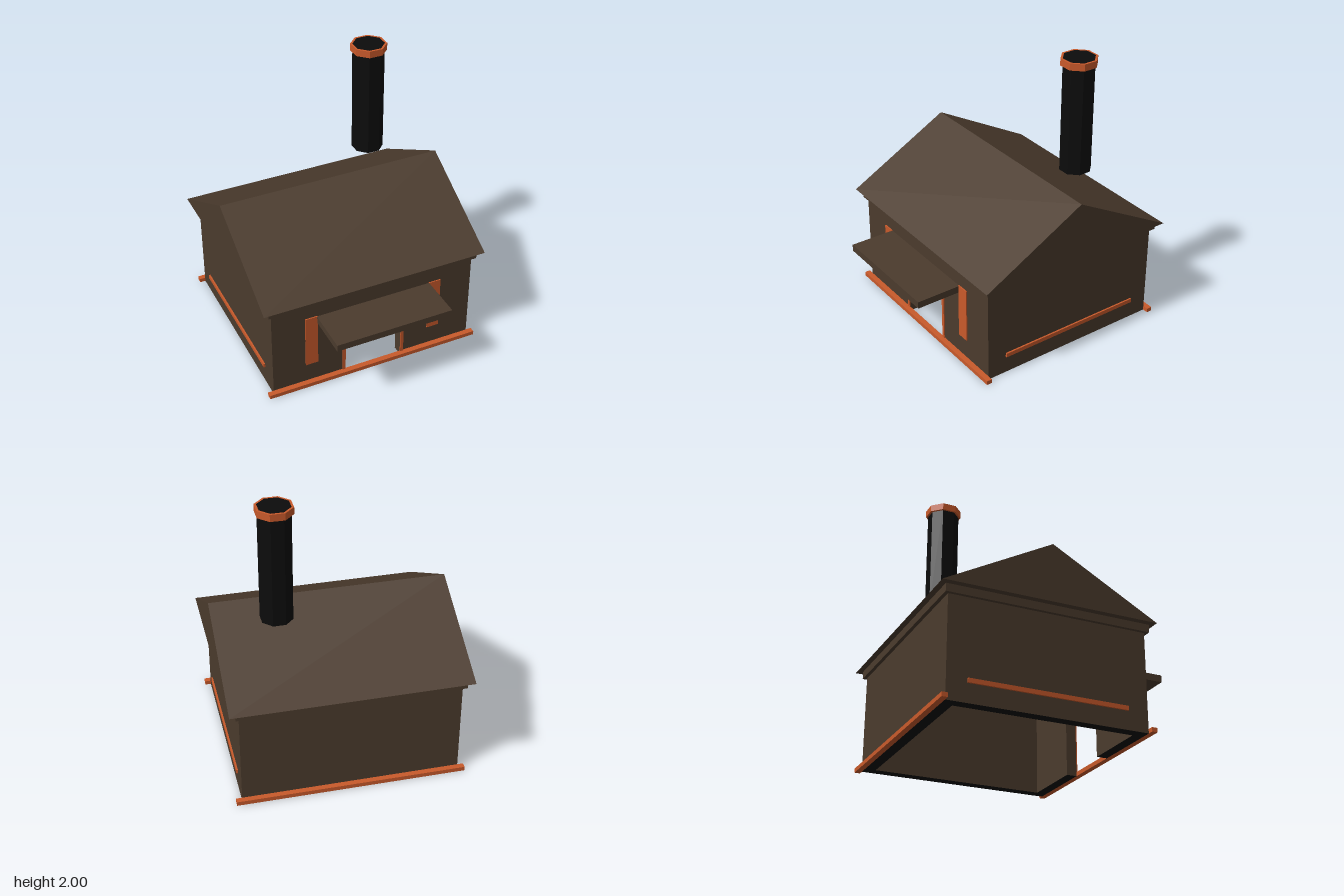
import * as THREE from 'three';

const material = (name, color) => {
  const m = new THREE.MeshStandardMaterial({ color });
  m.name = name;
  return m;
};

export function createModel() {
  const brown = material('brown', 0x4b3b2d);
  const orange = material('orange', 0xc95a2b);
  const black = material('black', 0x0c0c0c);
  const model = new THREE.Group();
  model.name = 'house';

  const add = (name, geometry, mat, parent = model) => {
    const mesh = new THREE.Mesh(geometry, mat);
    mesh.name = name;
    parent.add(mesh);
    return mesh;
  };
  // Box given by its limits on each axis
  const box = (name, [x0, x1], [y0, y1], [z0, z1], mat, parent) => {
    const g = new THREE.BoxGeometry(x1 - x0, y1 - y0, z1 - z0);
    g.translate((x0 + x1) / 2, (y0 + y1) / 2, (z0 + z1) / 2);
    return add(name, g, mat, parent);
  };
  // Same box on the left and on the right
  const pair = (name, [x0, x1], y, z, mat, parent) => {
    box(name + 'Left', [x0, x1], y, z, mat, parent);
    box(name + 'Right', [-x1, -x0], y, z, mat, parent);
  };
  const faceted = (geometry) => {
    const g = geometry.toNonIndexed();
    g.computeVertexNormals();
    return g;
  };

  const front = 0.57, back = -0.825, side = 0.765, t = 0.075;
  const doorX = 0.217, doorY = 0.465, wallTop = 0.7;

  // Hollow walls around an open doorway, with black undersides
  const walls = new THREE.Group();
  walls.name = 'walls';
  model.add(walls);
  const wallMats = [brown, brown, brown, black, brown, brown];
  pair('sideWall', [side - t, side], [0, wallTop], [back, front], wallMats, walls);
  box('backWall', [t - side, side - t], [0, wallTop], [back, back + t], wallMats, walls);
  pair('frontWall', [doorX, side - t], [0, wallTop], [front - t, front], wallMats, walls);
  box('doorLintel', [-doorX, doorX], [doorY, wallTop], [front - t, front], wallMats, walls);

  // Cornice and solid gable roof
  box('cornice', [-0.79, 0.79], [wallTop, 0.755], [-0.85, 0.595], brown);
  const gable = new THREE.Shape([[-0.89, 0.755], [0.63, 0.755], [-0.13, 1.17]]
    .map(([z, y]) => new THREE.Vector2(z, y)));
  const roof = new THREE.ExtrudeGeometry(gable, { depth: 1.67, bevelEnabled: false });
  roof.rotateY(-Math.PI / 2).translate(0.835, 0, 0);
  add('roof', roof, brown);

  // Canopy over the door
  box('canopy', [-0.432, 0.432], [0.53, 0.58], [front, 0.9], brown);

  // Door frame and window panels
  const trimZ = [front, front + 0.008];
  pair('doorFrame', [doorX, 0.24], [0, 0.485], trimZ, orange);
  box('doorFrameTop', [-doorX, doorX], [doorY, 0.485], trimZ, orange);
  pair('window', [0.428, 0.52], [0.178, 0.585], trimZ, orange);

  // Skirting beams at the front and back, and strips on the sides
  box('frontSkirting', [-0.807, 0.807], [0, 0.03], [front, 0.61], orange);
  box('backSkirting', [-0.807, 0.807], [0, 0.03], [-0.865, back], orange);
  pair('sideStrip', [side, 0.777], [0.13, 0.16], [-0.685, 0.425], orange);

  // Octagonal chimney with a rim
  const chimney = new THREE.Group();
  chimney.name = 'chimney';
  chimney.position.set(0.42, 0, -0.41);
  model.add(chimney);
  const toCorner = 1 / Math.cos(Math.PI / 8);
  const r = 0.105 * toCorner, R = 0.12 * toCorner;
  const shaft = new THREE.CylinderGeometry(r, r, 0.83, 8, 1, false, Math.PI / 8);
  shaft.translate(0, 1.585, 0);
  add('chimneyShaft', faceted(shaft), black, chimney);
  const rim = [[R, 1.95], [R, 2], [r, 2], [r, 1.95], [R, 1.95]]
    .map(([x, y]) => new THREE.Vector2(x, y));
  add('chimneyRim', faceted(new THREE.LatheGeometry(rim, 8, Math.PI / 8)), orange, chimney);

  return model;
}
